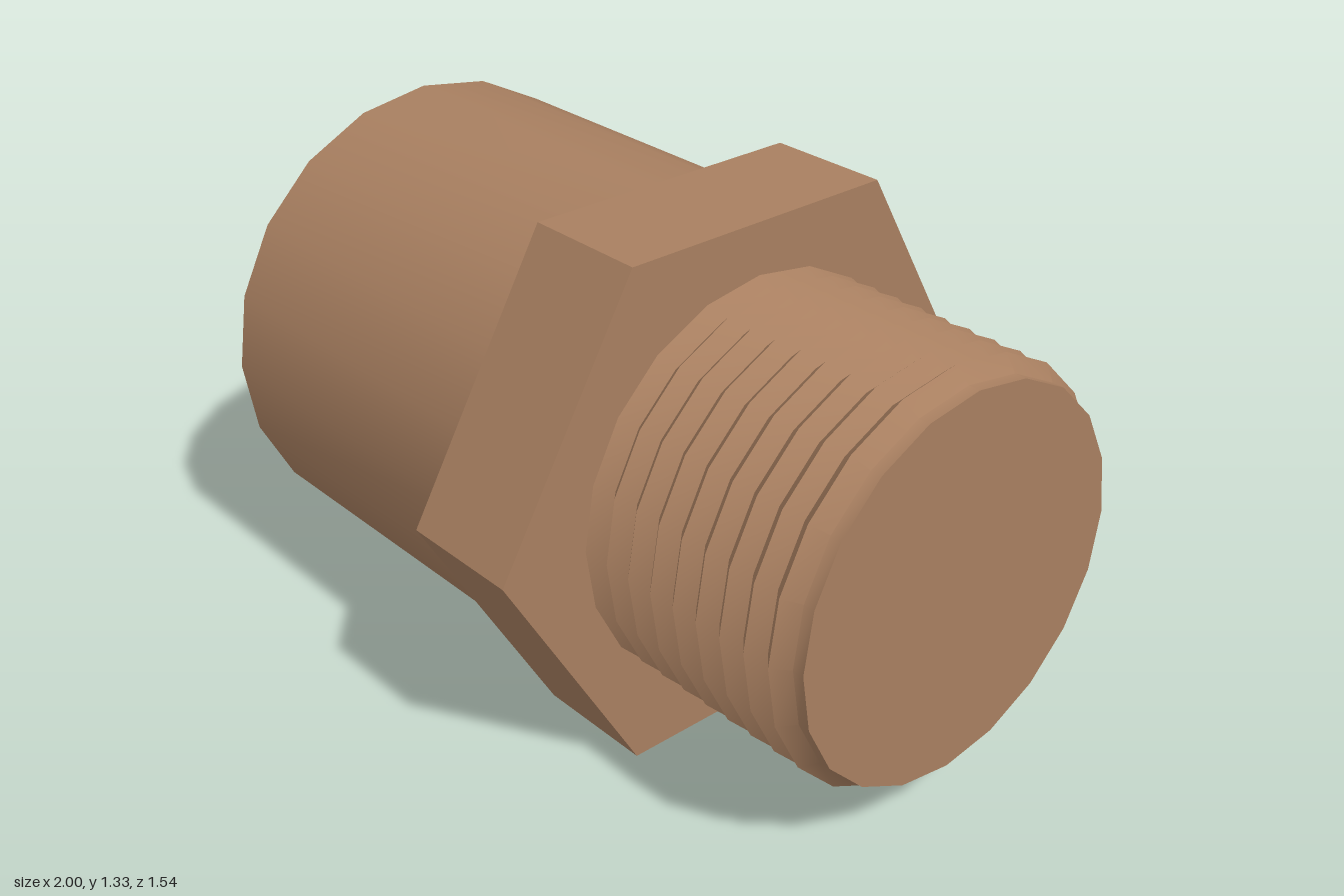
import * as THREE from 'three';
import { toCreasedNormals } from 'three/addons/utils/BufferGeometryUtils.js';

const AXIS_Y = 0.667;   // height of the fitting's axis
const HEX_WIDTH = 0.333;
const SIDES = 20;

export function createModel() {
  const group = new THREE.Group();
  group.name = 'threadedPipeAdapter';
  const copper = new THREE.MeshStandardMaterial({ color: 0xa87f60 });
  copper.name = 'copper brown';

  // Lays a geometry built around y along the x axis
  const add = (name, geometry, crease) => {
    geometry.rotateZ(-Math.PI / 2);
    const mesh = new THREE.Mesh(toCreasedNormals(geometry, crease), copper);
    mesh.name = name;
    mesh.position.y = AXIS_Y;
    group.add(mesh);
  };
  // Profile points are [position along the axis, radius]
  const turned = (profile) =>
    new THREE.LatheGeometry(profile.map(([x, r]) => new THREE.Vector2(r, x)), SIDES);

  // Hollow socket: bore, rim and outer wall; the nut closes the bore
  add('socket', turned([[0, 0.523], [-1, 0.523], [-1, 0.645], [0, 0.645]]), 0.8);

  // Hexagonal nut with corners at the front and back
  const nut = new THREE.CylinderGeometry(0.77, 0.77, HEX_WIDTH, 6);
  nut.translate(0, HEX_WIDTH / 2, 0);
  add('hexNut', nut, 0.3);

  // Threaded spigot: ring-shaped ridges, a plain tip and a closed end
  const ridges = 9, pitch = 0.0749, crest = 0.533, root = 0.497;
  const thread = [];
  for (let i = 0; i < ridges; i++) {
    const x = HEX_WIDTH + i * pitch;
    thread.push([x, crest], [x + pitch / 2, root]);
  }
  thread.push([1, root], [1, 0]);
  add('threadedSpigot', turned(thread), 0.8);

  return group;
}
